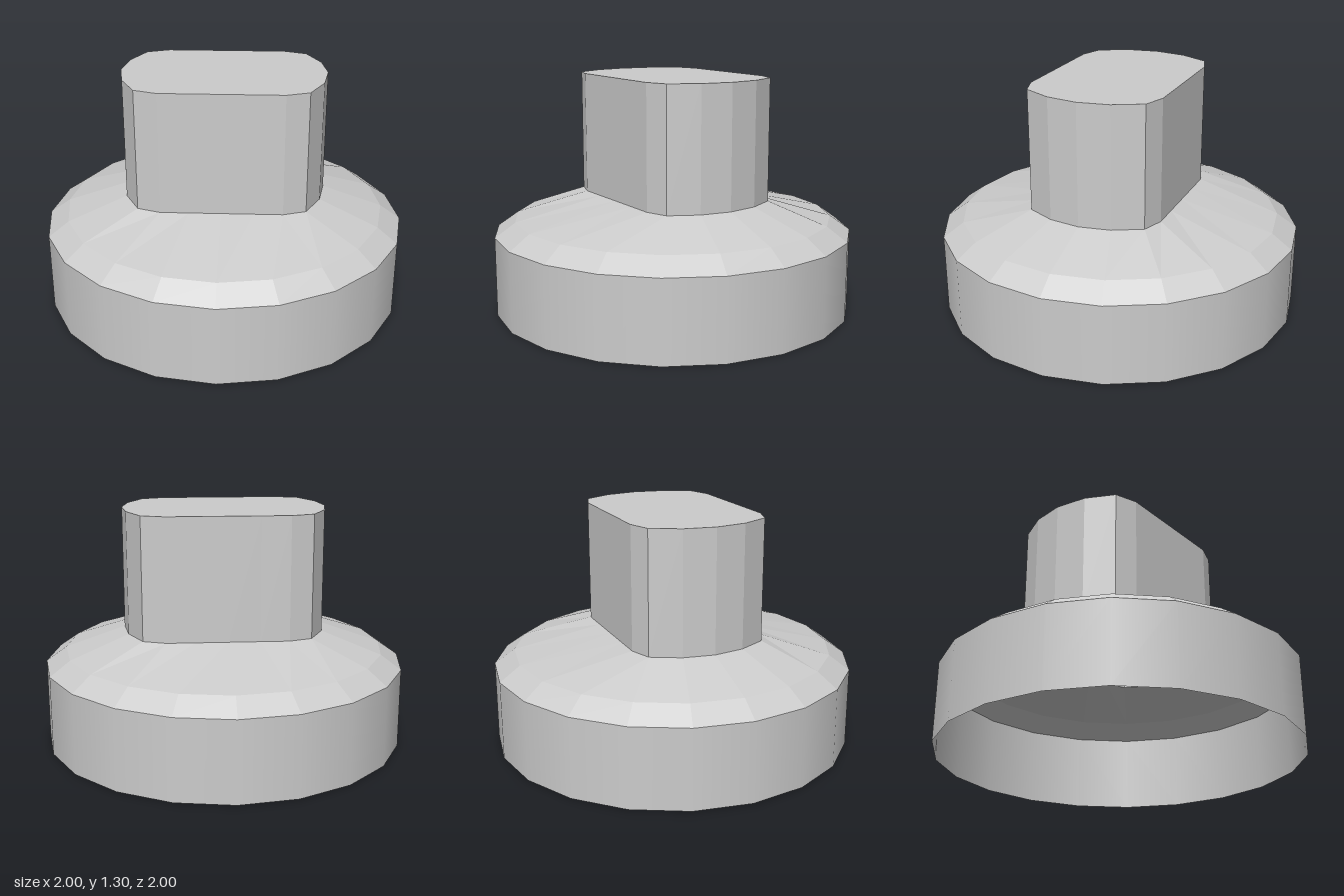
import * as THREE from 'three';

const SIDES = 20;
const NECK_R = 0.557, NECK_HALF_DEPTH = 0.37;

// Ring of points at a height; depth is clamped to give the neck its flat front and back
function ring(radius, y, halfDepth = Infinity) {
  return Array.from({ length: SIDES }, (_, i) => {
    const a = (i / SIDES) * Math.PI * 2;
    const z = THREE.MathUtils.clamp(radius * Math.cos(a), -halfDepth, halfDepth);
    return new THREE.Vector3(radius * Math.sin(a), y, z);
  });
}

// Faceted skin through stacked rings (bottom to top), optionally capped
function loft(rings, capped = false) {
  const pts = [];
  for (let r = 0; r < rings.length - 1; r++) {
    for (let i = 0; i < SIDES; i++) {
      const j = (i + 1) % SIDES;
      const [a, b, c, d] = [rings[r][i], rings[r][j], rings[r + 1][j], rings[r + 1][i]];
      pts.push(a, b, c, a, c, d);
    }
  }
  if (capped) {
    const top = rings[rings.length - 1];
    const centre = new THREE.Vector3(0, top[0].y, 0);
    top.forEach((p, i) => pts.push(centre, p, top[(i + 1) % SIDES]));
  }
  const geometry = new THREE.BufferGeometry().setFromPoints(pts);
  geometry.computeVertexNormals();
  return geometry;
}

export function createModel() {
  const group = new THREE.Group();
  const smooth = new THREE.MeshStandardMaterial({ color: 0xcccccc, side: THREE.DoubleSide });
  const faceted = new THREE.MeshStandardMaterial({ color: 0xcccccc, side: THREE.DoubleSide, flatShading: true });
  const add = (name, geometry, material) => {
    const mesh = new THREE.Mesh(geometry, material);
    mesh.name = name;
    group.add(mesh);
    return mesh;
  };

  // Round wall, open underneath
  add('baseWall', new THREE.CylinderGeometry(1, 1, 0.44, SIDES, 1, true), smooth).position.y = 0.22;

  // Bevel and sloping shoulder that blend the round wall into the neck
  const neckBase = ring(NECK_R, 0.635, NECK_HALF_DEPTH);
  add('shoulder', loft([ring(1, 0.44), ring(0.887, 0.52), neckBase]), faceted);

  // Hollow neck with flat front and back, closed on top
  add('neck', loft([neckBase, ring(NECK_R, 1.305, NECK_HALF_DEPTH)], true), faceted);

  return group;
}
